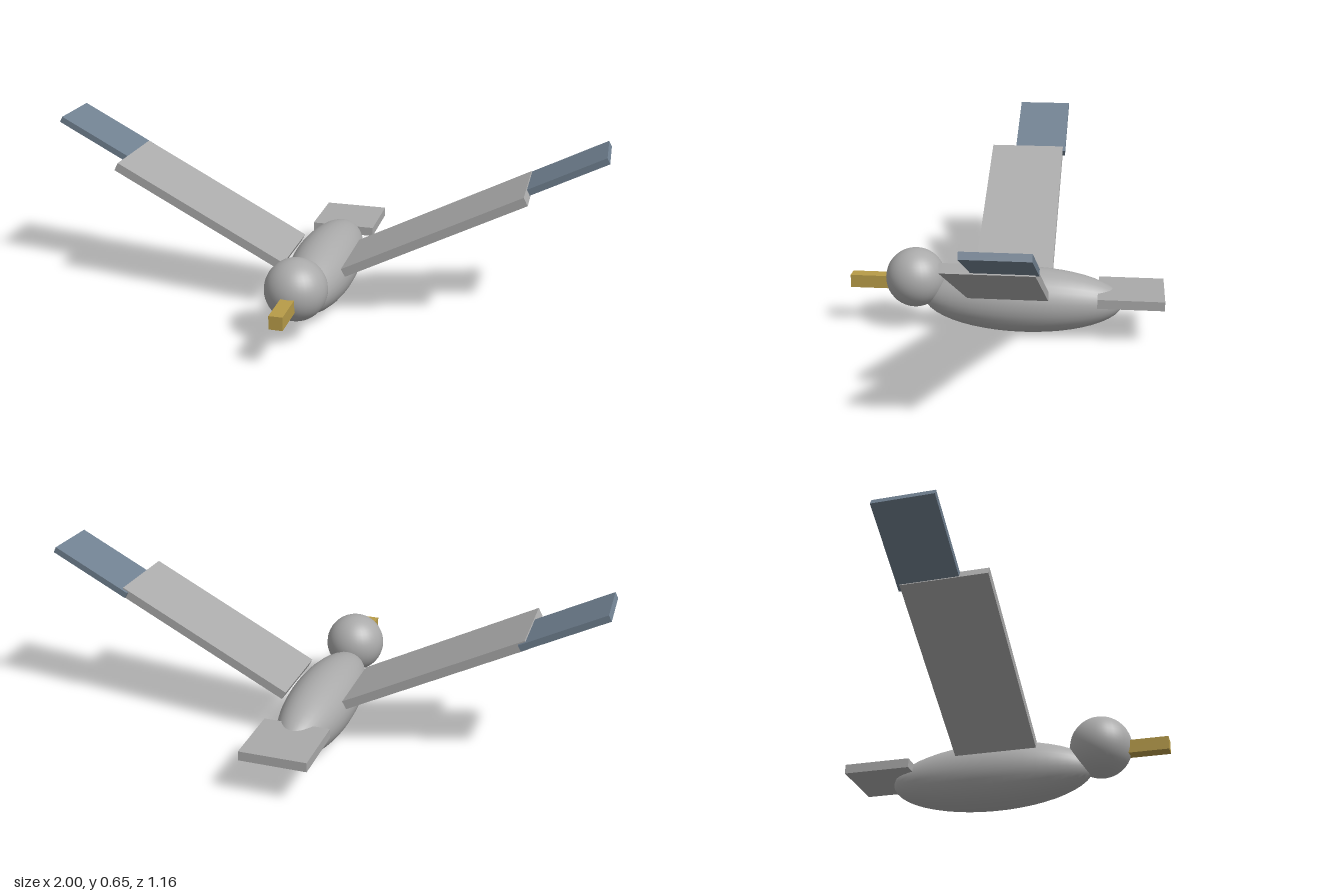
import * as THREE from 'three';

const mat = (name, color) => {
  const m = new THREE.MeshStandardMaterial({ color });
  m.name = name;
  return m;
};

export function createModel() {
  const bird = new THREE.Group();
  bird.name = 'bird';
  const grey = mat('featherGrey', 0xaaaaaa);
  const slate = mat('slateWingTip', 0x708090);
  const ochre = mat('beakOchre', 0xb89c48);

  const add = (parent, name, geometry, material, x, y, z) => {
    const mesh = new THREE.Mesh(geometry, material);
    mesh.name = name;
    mesh.position.set(x, y, z);
    parent.add(mesh);
    return mesh;
  };
  const box = (w, h, d) => new THREE.BoxGeometry(w, h, d);

  // Long ellipsoid body, with its poles at nose and tail
  const bodyGeometry = new THREE.SphereGeometry(1, 32, 24);
  bodyGeometry.rotateX(Math.PI / 2);
  bodyGeometry.scale(0.12, 0.122, 0.368);
  add(bird, 'body', bodyGeometry, grey, 0, 0.124, -0.06);

  // Head, beak and flat tail
  add(bird, 'head', new THREE.SphereGeometry(0.11, 32, 24), grey, 0, 0.196, 0.338);
  add(bird, 'beak', box(0.048, 0.048, 0.17), ochre, 0, 0.179, 0.494);
  add(bird, 'tail', box(0.24, 0.034, 0.24), grey, 0, 0.161, -0.457);

  // Raised wings: local x runs outward from the wing root
  for (const side of [1, -1]) {
    const wing = new THREE.Group();
    wing.name = side > 0 ? 'leftWing' : 'rightWing';
    wing.position.set(side * 0.114, 0.181, 0);
    wing.rotation.z = side * 0.482;
    add(wing, 'wingPanel', box(0.705, 0.032, 0.292), grey, side * 0.3525, 0, -0.016);
    add(wing, 'wingTip', box(0.313, 0.023, 0.206), slate, side * 0.837, 0, -0.069);
    bird.add(wing);
  }
  return bird;
}
